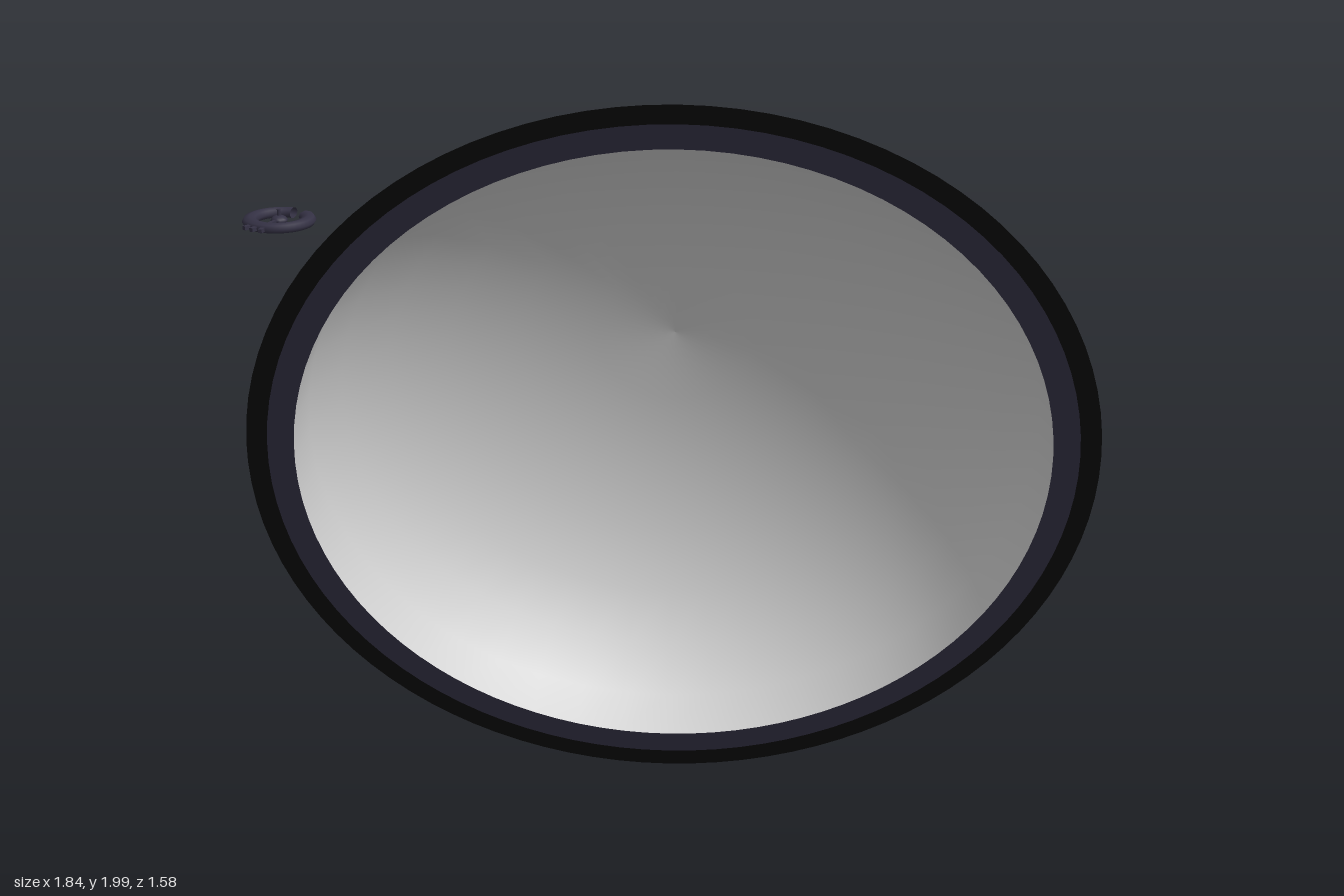
import * as THREE from 'three';

const mat = (name, color) =>
  new THREE.MeshStandardMaterial({ name, color, side: THREE.DoubleSide });

export function createModel() {
  const shellGrey = mat('shell grey', 0xd2d2d2);
  const darkViolet = mat('dark violet', 0x343144);
  const rimBlack = mat('rim black', 0x0a0a0a);

  const model = new THREE.Group();
  model.name = 'dishAndCharm';
  const add = (parent, name, geometry, material) => {
    const mesh = new THREE.Mesh(geometry, material);
    mesh.name = name;
    parent.add(mesh);
    return mesh;
  };

  // Dish: built opening along +y, then tilted to face its direction
  const dish = new THREE.Group();
  dish.name = 'dish';
  dish.position.set(0.143, 1.003, 0);
  dish.quaternion.setFromUnitVectors(
    new THREE.Vector3(0, 1, 0),
    new THREE.Vector3(0.678, -0.316, 0.663).normalize()
  );
  model.add(dish);

  // Half-ellipsoid bowl, open at the rim
  const radius = 0.937, depth = 0.565, rows = 7;
  const profile = [];
  for (let i = 0; i <= rows; i++) {
    const a = (i / rows) * Math.PI / 2;
    profile.push(new THREE.Vector2(radius * Math.sin(a), -depth * Math.cos(a)));
  }
  add(dish, 'bowl', new THREE.LatheGeometry(profile, 48), shellGrey);

  // Flat two-tone rim
  const flatRing = (inner, outer) =>
    new THREE.RingGeometry(inner, outer, 96).rotateX(-Math.PI / 2);
  add(dish, 'innerRim', flatRing(0.934, 1.0), darkViolet);
  add(dish, 'outerRim', flatRing(1.0, 1.051), rimBlack);

  // Small floating charm: a split ring with a hub, a spoke and teeth
  const charm = new THREE.Group();
  charm.name = 'charm';
  charm.position.set(-0.826, 1.527, 0.46);
  model.add(charm);

  const deg = THREE.MathUtils.degToRad;
  const band = new THREE.TorusGeometry(0.074, 0.02, 8, 36, deg(325));
  band.rotateZ(deg(-80)).rotateX(Math.PI / 2).scale(1, 0.7, 1);
  add(charm, 'splitRing', band, darkViolet);
  add(charm, 'hub', new THREE.SphereGeometry(0.022, 12, 8).scale(1, 0.6, 1), darkViolet);
  add(charm, 'hubPin', new THREE.CylinderGeometry(0.005, 0.005, 0.046, 8), darkViolet)
    .position.y = 0.006;

  // Bars lying flat, pointing outward from the hub
  const radialBar = (name, angle, from, to, width) => {
    const bar = add(charm, name, new THREE.BoxGeometry(to - from, 0.01, width), darkViolet);
    const mid = (from + to) / 2, a = deg(angle);
    bar.position.set(mid * Math.cos(a), 0, mid * Math.sin(a));
    bar.rotation.y = -a;
  };
  radialBar('spoke', 68, 0.01, 0.07, 0.01);
  [62, 76, 90].forEach((angle) => radialBar('tooth', angle, 0.085, 0.108, 0.011));

  return model;
}
